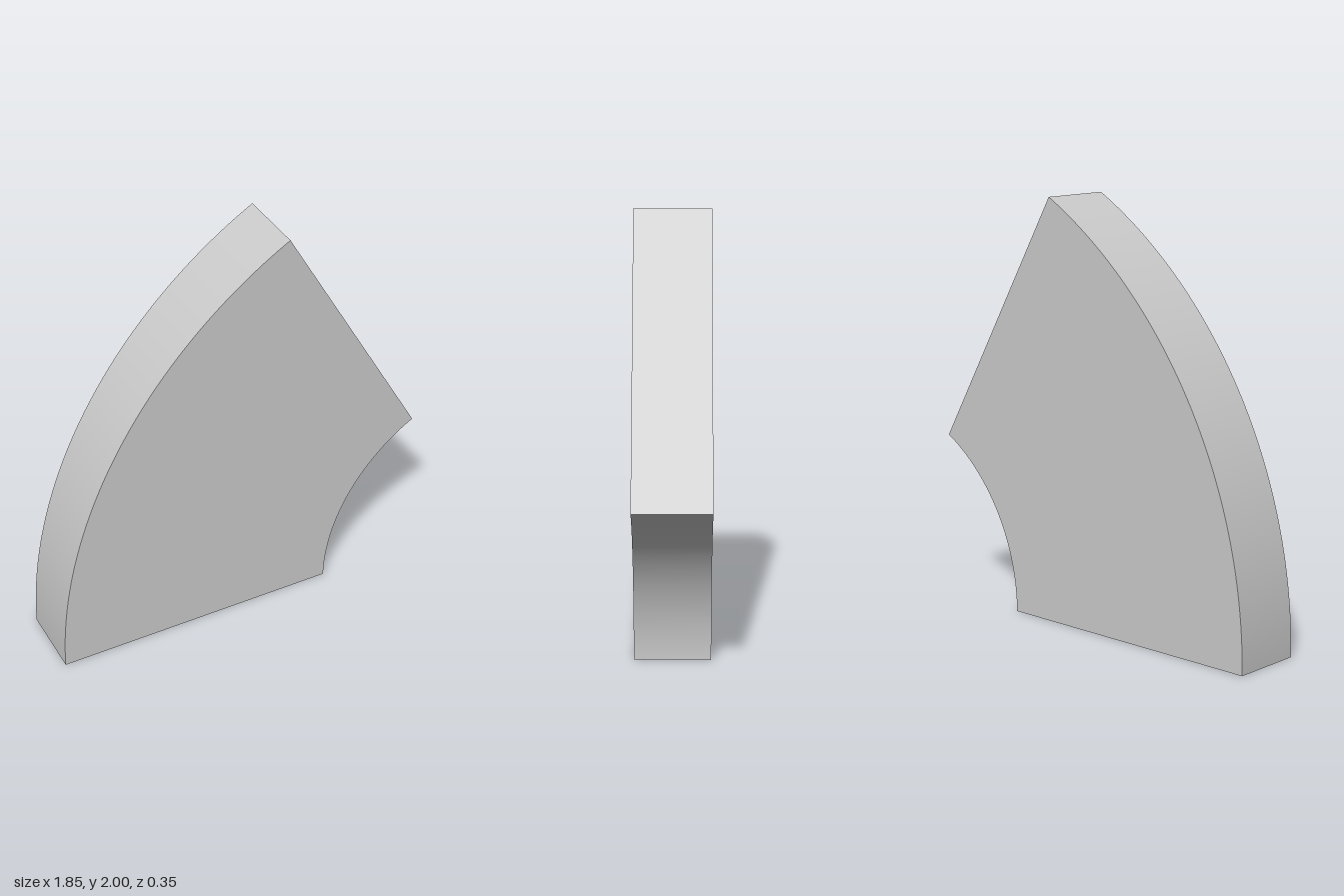
import * as THREE from 'three';
import { toCreasedNormals } from 'three/addons/utils/BufferGeometryUtils.js';

export function createModel() {
  const group = new THREE.Group();
  group.name = 'ringSegment';

  // 60 degree sector of a flat ring, standing on one radial end
  const sweep = Math.PI / 3;
  const outerRadius = 2 / Math.sin(sweep);
  const innerRadius = outerRadius * 0.4;
  const depth = outerRadius * 0.15;
  const centreX = outerRadius * 0.6; // centres the sector on x = 0

  const profile = new THREE.Shape();
  profile.absarc(centreX, 0, outerRadius, Math.PI, Math.PI - sweep, true);
  profile.absarc(centreX, 0, innerRadius, Math.PI - sweep, Math.PI, false);
  profile.closePath();

  const geometry = new THREE.ExtrudeGeometry(profile, { depth, bevelEnabled: false, curveSegments: 48 });
  geometry.translate(0, 0, -depth / 2);

  // Smooth curved walls, sharp edges elsewhere
  const plate = new THREE.Mesh(
    toCreasedNormals(geometry, Math.PI / 6),
    new THREE.MeshStandardMaterial({ color: 0xcccccc })
  );
  plate.name = 'curvedPlate';
  group.add(plate);
  return group;
}
